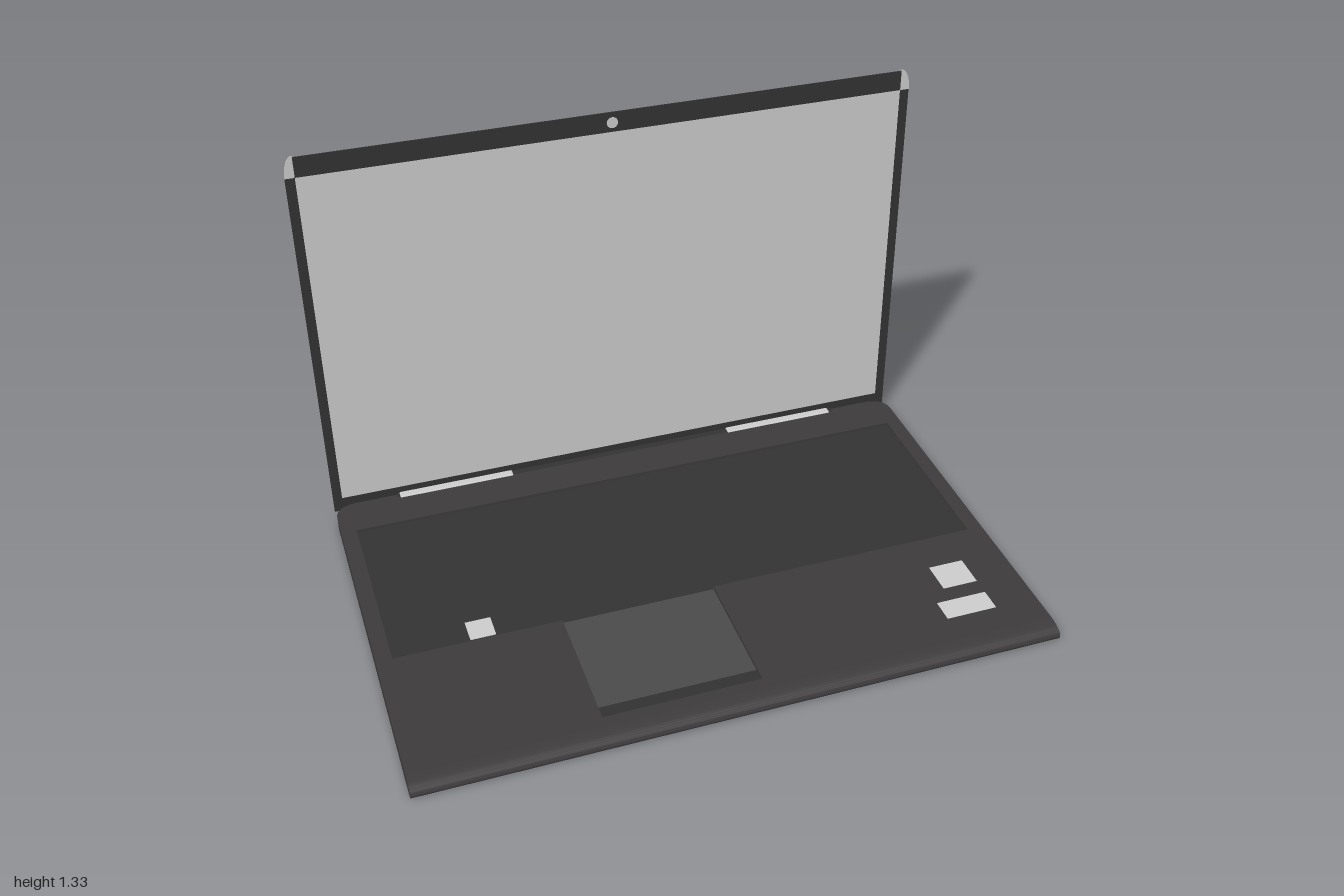
import * as THREE from 'three';
import { toCreasedNormals } from 'three/addons/utils/BufferGeometryUtils.js';
import { RoundedBoxGeometry } from 'three/addons/geometries/RoundedBoxGeometry.js';

const paint = (color) => new THREE.MeshStandardMaterial({ color, side: THREE.DoubleSide });

export function createModel() {
  const model = new THREE.Group();
  const grey = paint(0xcccccc), deck = paint(0x3d3a3b), dark = paint(0x333333);
  const pad = paint(0x4a4a4a), under = paint(0x262425);

  const add = (name, geometry, material) => {
    const mesh = new THREE.Mesh(geometry, material);
    mesh.name = name;
    model.add(mesh);
    return mesh;
  };
  // Box from its lower and upper corner
  const box = (name, [x0, y0, z0], [x1, y1, z1], material) =>
    add(name, new THREE.BoxGeometry(x1 - x0, y1 - y0, z1 - z0)
      .translate((x0 + x1) / 2, (y0 + y1) / 2, (z0 + z1) / 2), material);
  const extrude = (shape, depth) => toCreasedNormals(
    new THREE.ExtrudeGeometry(shape, { depth, bevelEnabled: false, curveSegments: 10 }), 0.6);
  const polygon = (points) => points.map(([x, y]) => new THREE.Vector2(x, y));
  // Plan outline (x, -z) raised from y0 to y1
  const slab = (shape, y0, y1) => extrude(shape, y1 - y0).rotateX(-Math.PI / 2).translate(0, y0, 0);
  // Side profile (z, y) swept across the width, centred on x
  const sweep = (shape, width) => extrude(shape, width).rotateY(-Math.PI / 2).translate(width / 2, 0, 0);

  // --- Base: rounded rear corners, straight sides ---
  const plan = () => {
    const s = new THREE.Shape();
    s.moveTo(-1, -0.6);
    s.lineTo(1, -0.6);
    s.lineTo(1, 0.57);
    s.quadraticCurveTo(1, 0.635, 0.92, 0.635);
    s.lineTo(-0.92, 0.635);
    s.quadraticCurveTo(-1, 0.635, -1, 0.57);
    s.closePath();
    return s;
  };
  const floorY = 0.034, topY = 0.045;
  add('baseBody', slab(plan(), 0.003, floorY - 0.004), deck);
  add('baseBottom', slab(plan(), 0, 0.003), under);

  // Deck with one opening for the keyboard and touchpad
  const top = plan();
  top.holes.push(new THREE.Path(polygon([
    [-0.95, 0.49], [0.95, 0.49], [0.95, -0.145], [0.065, -0.145],
    [0.065, -0.575], [-0.425, -0.575], [-0.425, -0.145], [-0.95, -0.145],
  ])));
  add('deck', slab(top, floorY - 0.004, topY), deck);

  // Rounded front edge
  const nose = new THREE.Shape();
  nose.moveTo(0.6, 0);
  nose.lineTo(0.64, 0);
  nose.quadraticCurveTo(0.67, 0.004, 0.67, 0.016);
  nose.bezierCurveTo(0.67, 0.034, 0.645, topY, 0.6, topY);
  nose.closePath();
  add('frontEdge', sweep(nose, 2), deck);

  // Sunken keyboard, touchpad and sloping button strip
  box('keyboard', [-0.95, 0.029, -0.49], [0.95, floorY, 0.145], dark);
  box('touchpad', [-0.425, 0.029, 0.145], [0.065, floorY, 0.525], pad);
  const strip = new THREE.Shape(polygon([[0.525, 0.029], [0.575, 0.029], [0.575, 0.043], [0.525, floorY]]));
  add('touchpadButtons', sweep(strip, 0.49).translate(-0.18, 0, 0), dark);

  // Labels on the keyboard and palm rest
  box('keyboardLabel', [-0.71, floorY, 0.05], [-0.63, floorY + 0.002, 0.13], grey);
  box('squareLabel', [0.745, topY, 0.28], [0.86, topY + 0.001, 0.385], grey);
  box('wideLabel', [0.695, topY, 0.44], [0.86, topY + 0.001, 0.515], grey);

  // --- Hinges ---
  box('hingeBar', [-0.79, 0.018, -0.643], [0.79, 0.0455, -0.62], dark);
  for (const side of [-1, 1]) {
    add('hinge', new RoundedBoxGeometry(0.39, 0.03, 0.03, 3, 0.005)
      .translate(side * 0.585, 0.034, -0.63), grey);
  }

  // --- Lid: flat front, rounded sides and top ---
  const front = -0.645, back = -0.667;
  const section = new THREE.Shape();
  section.moveTo(-1, -front);
  section.lineTo(1, -front);
  section.quadraticCurveTo(1, -back, 0.97, -back);
  section.lineTo(-0.97, -back);
  section.quadraticCurveTo(-1, -back, -1, -front);
  add('lidBack', slab(section, 0.02, 1.26), grey);

  const crown = new THREE.Shape();
  crown.moveTo(front, 1.26);
  crown.lineTo(front, 1.325);
  crown.quadraticCurveTo(back, 1.315, back, 1.26);
  crown.closePath();
  add('lidTop', sweep(crown, 1.94), grey);

  // Dark frame around the screen
  const frame = new THREE.Shape(polygon([
    [-1, 0.02], [1, 0.02], [1, 1.26], [0.97, 1.26],
    [0.97, 1.325], [-0.97, 1.325], [-0.97, 1.26], [-1, 1.26],
  ]));
  frame.holes.push(new THREE.Path(polygon([[-0.97, 0.07], [-0.97, 1.259], [0.97, 1.259], [0.97, 0.07]])));
  add('screenFrame', extrude(frame, 0.003).translate(0, 0, front), dark);
  box('screen', [-0.97, 0.07, front], [0.97, 1.259, front + 0.002], grey);
  add('camera', new THREE.CylinderGeometry(0.018, 0.018, 0.003, 32)
    .rotateX(Math.PI / 2).translate(0, 1.29, front + 0.003), grey);

  // Rounded corner caps: an eighth of an ellipsoid with flat inner faces
  const quarter = new THREE.Shape();
  quarter.moveTo(0, 0);
  quarter.lineTo(1, 0);
  quarter.absarc(0, 0, 1, 0, Math.PI / 2, false);
  quarter.closePath();
  for (const side of [-1, 1]) {
    const cap = new THREE.Group();
    cap.name = 'cornerCap';
    const shell = new THREE.SphereGeometry(1, 12, 12, Math.PI, Math.PI / 2, 0, Math.PI / 2)
      .rotateY(Math.PI); // octant +x, +y, -z after the turn below
    shell.rotateY(Math.PI / 2);
    const flat = new THREE.ShapeGeometry(quarter, 12);
    const faces = [
      shell,
      flat,
      flat.clone().rotateY(Math.PI / 2),
      flat.clone().rotateX(-Math.PI / 2),
    ];
    // Aim the shell at the +x, +y, -z octant
    shell.computeBoundingBox();
    const centre = shell.boundingBox.getCenter(new THREE.Vector3());
    shell.scale(Math.sign(centre.x), 1, -Math.sign(centre.z));
    shell.computeVertexNormals();
    for (const geometry of faces) cap.add(new THREE.Mesh(geometry, grey));
    cap.children.forEach((mesh) => { mesh.name = 'cornerCapFace'; });
    cap.scale.set(side * 0.03, 0.07, 0.03);
    cap.position.set(side * 0.97, 1.26, -0.64);
    model.add(cap);
  }
  return model;
}
